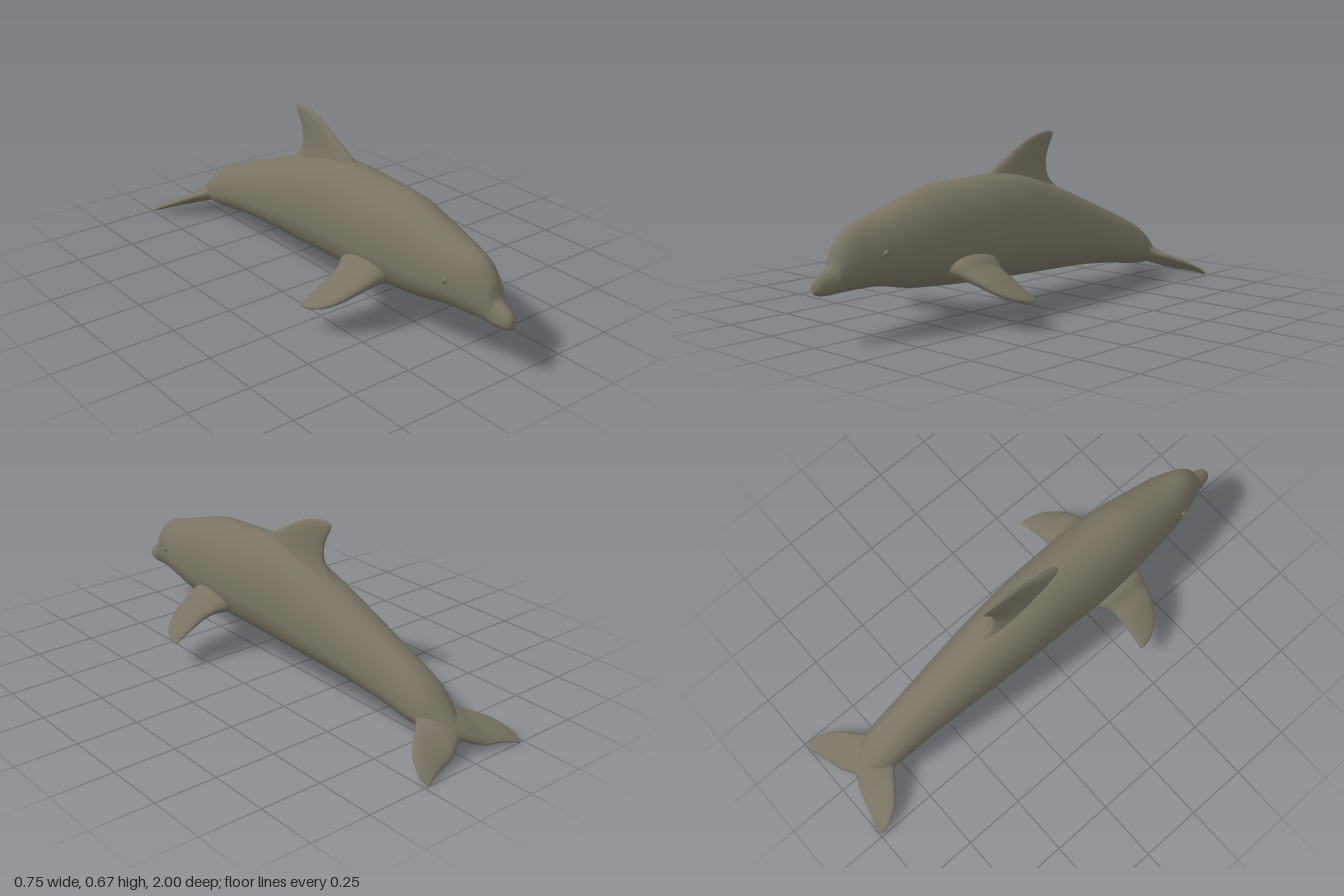
import * as THREE from 'three';

const skin = new THREE.MeshStandardMaterial({ color: 0x787363 });
skin.name = 'grey skin';

// Closed smooth skin over a list of equal rings, capped at both ends
function loft(name, rings) {
  const n = rings[0].length, pos = [], idx = [];
  rings.forEach(r => r.forEach(p => pos.push(p.x, p.y, p.z)));
  for (let i = 0; i < rings.length - 1; i++) {
    for (let j = 0; j < n; j++) {
      const a = i * n + j, b = i * n + (j + 1) % n;
      idx.push(a, b, a + n, b, b + n, a + n);
    }
  }
  [0, rings.length - 1].forEach((row, end) => {
    const c = new THREE.Vector3();
    rings[row].forEach(p => c.addScaledVector(p, 1 / n));
    const k = pos.length / 3;
    pos.push(c.x, c.y, c.z);
    for (let j = 0; j < n; j++) {
      const a = row * n + j, b = row * n + (j + 1) % n;
      if (end) idx.push(a, b, k); else idx.push(b, a, k);
    }
  });
  // Turn the faces outward when the signed volume is negative
  const at = i => new THREE.Vector3().fromArray(pos, i * 3);
  let volume = 0;
  for (let i = 0; i < idx.length; i += 3) {
    volume += at(idx[i]).dot(at(idx[i + 1]).cross(at(idx[i + 2])));
  }
  if (volume < 0) idx.reverse();
  const g = new THREE.BufferGeometry();
  g.setAttribute('position', new THREE.Float32BufferAttribute(pos, 3));
  g.setIndex(idx);
  g.computeVertexNormals();
  const mesh = new THREE.Mesh(g, skin);
  mesh.name = name;
  return mesh;
}

// Smoothly samples rows of numbers
function smooth(rows, steps) {
  const curves = rows[0].map((_, c) => new THREE.SplineCurve(rows.map((r, i) => new THREE.Vector2(i, r[c]))));
  return Array.from({ length: steps + 1 }, (_, i) => curves.map(c => c.getPoint(i / steps).y));
}

// Fin from rows: leading xyz, trailing xyz, half thickness
function fin(name, rows, normal, steps = 28) {
  const n = new THREE.Vector3(...normal).normalize();
  return loft(name, smooth(rows, steps).map(r => {
    const lead = new THREE.Vector3(r[0], r[1], r[2]), trail = new THREE.Vector3(r[3], r[4], r[5]);
    return Array.from({ length: 20 }, (_, j) => {
      const a = j / 20 * Math.PI * 2;
      const t = Math.pow((1 - Math.cos(a)) / 2, 1.15);
      return lead.clone().lerp(trail, t).addScaledVector(n, Math.max(r[6], 0.001) * Math.sin(a));
    });
  }));
}

export function createModel() {
  const model = new THREE.Group();
  model.name = 'dolphin';

  // Body sections: z, top, bottom, half width
  const sections = [
    [1.0, 0.222, 0.195, 0.012], [0.985, 0.245, 0.182, 0.026], [0.95, 0.264, 0.178, 0.036],
    [0.925, 0.282, 0.178, 0.043], [0.905, 0.338, 0.179, 0.05], [0.86, 0.393, 0.18, 0.068],
    [0.8, 0.42, 0.181, 0.088], [0.72, 0.442, 0.177, 0.11], [0.6, 0.48, 0.153, 0.127],
    [0.48, 0.513, 0.14, 0.142], [0.3, 0.525, 0.128, 0.154], [0.15, 0.532, 0.122, 0.152],
    [0, 0.522, 0.116, 0.147], [-0.2, 0.462, 0.11, 0.137], [-0.4, 0.385, 0.102, 0.12],
    [-0.6, 0.305, 0.082, 0.102], [-0.72, 0.253, 0.062, 0.095], [-0.79, 0.208, 0.062, 0.085],
    [-0.85, 0.152, 0.062, 0.06], [-0.9, 0.102, 0.058, 0.03], [-0.925, 0.075, 0.058, 0.008],
  ];
  model.add(loft('body', smooth(sections, 80).map(([z, top, bottom, w]) => {
    const mid = bottom + (top - bottom) * 0.4;
    return Array.from({ length: 36 }, (_, j) => {
      const a = j / 36 * Math.PI * 2, s = Math.sin(a);
      return new THREE.Vector3(w * Math.cos(a), mid + s * (s > 0 ? top - mid : mid - bottom), z);
    });
  })));

  // Dorsal fin: y, leading z, trailing z, half thickness
  const dorsal = [
    [0.43, 0.2, -0.27, 0.06], [0.475, 0.19, -0.212, 0.046], [0.51, 0.17, -0.188, 0.035],
    [0.545, 0.125, -0.183, 0.026], [0.585, 0.055, -0.188, 0.02], [0.62, -0.005, -0.204, 0.016],
    [0.65, -0.065, -0.22, 0.012], [0.668, -0.12, -0.226, 0.008], [0.677, -0.17, -0.212, 0.003],
  ];
  model.add(fin('dorsalFin', dorsal.map(([y, a, b, t]) => [0, y, a, 0, y, b, t]), [1, 0, 0]));

  // Flippers: x, y, leading z, trailing z, half thickness
  const flipper = [
    [0.1, 0.215, 0.485, 0.23, 0.062], [0.15, 0.212, 0.475, 0.25, 0.048], [0.19, 0.196, 0.465, 0.277, 0.035],
    [0.24, 0.178, 0.453, 0.285, 0.028], [0.29, 0.152, 0.43, 0.286, 0.021], [0.34, 0.126, 0.39, 0.285, 0.013],
    [0.368, 0.111, 0.34, 0.282, 0.007], [0.375, 0.107, 0.31, 0.29, 0.002],
  ];
  for (const side of [1, -1]) {
    model.add(fin(side > 0 ? 'leftFlipper' : 'rightFlipper',
      flipper.map(([x, y, a, b, t]) => [side * x, y, a, side * x, y, b, t]), [side * 0.4, 0.9, 0]));

    // Eye
    const eye = new THREE.Mesh(new THREE.SphereGeometry(0.012, 16, 12), skin);
    eye.name = side > 0 ? 'leftEye' : 'rightEye';
    eye.position.set(side * 0.1, 0.311, 0.757);
    eye.scale.x = 0.8;
    model.add(eye);
  }

  // Tail flukes, one half: x, leading z and y, trailing z and y, half thickness
  const half = [
    [0.24, -0.965, 0.024, -0.983, 0.014, 0.003], [0.23, -0.935, 0.042, -1, 0.004, 0.007],
    [0.2, -0.885, 0.068, -0.992, 0.012, 0.012], [0.15, -0.84, 0.092, -0.975, 0.02, 0.017],
    [0.1, -0.8, 0.112, -0.963, 0.024, 0.023], [0.05, -0.745, 0.14, -0.948, 0.042, 0.034],
  ];
  const flukes = [...half, [0, -0.71, 0.155, -0.926, 0.062, 0.04],
    ...half.slice().reverse().map(([x, ...rest]) => [-x, ...rest])];
  model.add(fin('tailFlukes', flukes.map(([x, lz, ly, tz, ty, t]) => [x, ly, lz, x, ty, tz, t]), [0, 0.86, -0.51], 48));

  return model;
}
